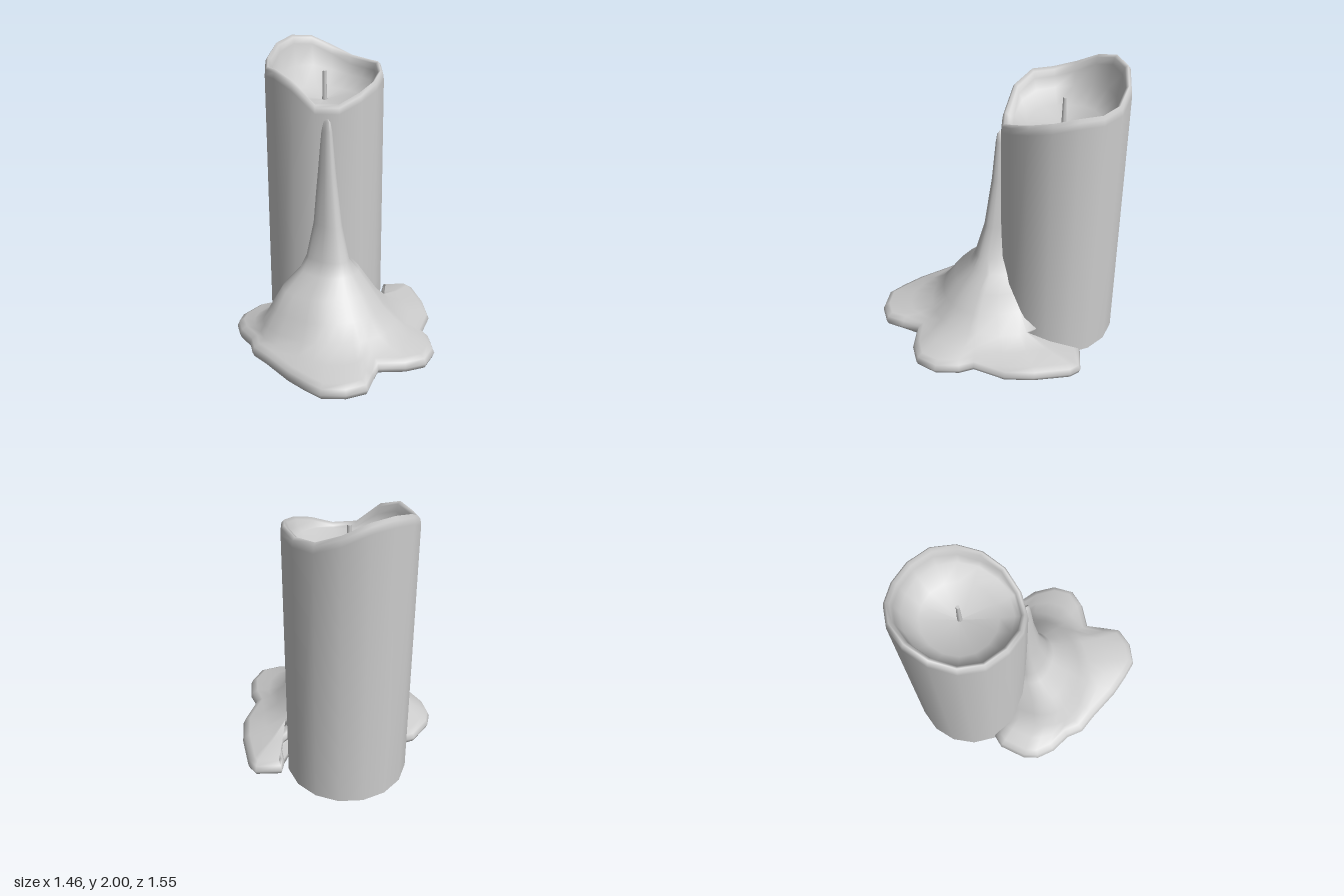
import * as THREE from 'three';

const material = new THREE.MeshStandardMaterial({ color: 0xcccccc });
const lerp = THREE.MathUtils.lerp;

// Skin a stack of closed loops, each an array of [x, y, z]
function loft(name, rings) {
  const n = rings[0].length, index = [];
  for (let j = 0; j < rings.length - 1; j++) {
    for (let i = 0; i < n; i++) {
      const a = j * n + i, b = j * n + (i + 1) % n;
      index.push(a, a + n, b, b, a + n, b + n);
    }
  }
  const geometry = new THREE.BufferGeometry();
  geometry.setAttribute('position', new THREE.Float32BufferAttribute(rings.flat(2), 3));
  geometry.setIndex(index);
  geometry.computeVertexNormals();
  const mesh = new THREE.Mesh(geometry, material);
  mesh.name = name;
  return mesh;
}

// Candle axis and rim heights, from +x round through the front
const CX = 0.115, CZ = -0.365, FLOOR = 1.6;
const rim = [1.84, 1.845, 1.81, 1.765, 1.71, 1.645, 1.65, 1.79,
  1.85, 1.845, 1.885, 1.96, 2.0, 1.99, 1.92, 1.855];

function candleBody() {
  const ring = (r, height) => rim.map((h, i) => {
    const a = i / rim.length * Math.PI * 2;
    return [CX + r * Math.cos(a), height(h), CZ + r * Math.sin(a)];
  });
  return loft('candleBody', [
    ring(0, () => 0), ring(0.41, () => 0), // flat base
    ring(0.41, () => 0), ring(0.41, h => h - 0.06), // wall
    ring(0.404, h => h - 0.02), ring(0.388, h => h), ring(0.368, h => h - 0.015), // rounded lip
    ring(0.357, h => Math.max(h - 0.06, FLOOR + 0.02)), // hollow top
    ring(0.33, h => lerp(FLOOR + 0.01, h, 0.45)),
    ring(0.24, h => lerp(FLOOR, h, 0.12)),
    ring(0, () => FLOOR),
  ]);
}

// Puddle outline as x, z; the first points run hidden inside the candle
const outline = [
  [-0.22, -0.42], [-0.1, -0.33], [0.08, -0.22], [0.2, -0.06], [0.3, 0.02], [0.4, -0.01],
  [0.46, -0.08], [0.52, -0.2], [0.58, -0.255], [0.725, -0.155], [0.73, -0.07], [0.63, 0.16],
  [0.52, 0.33], [0.33, 0.46], [0.31, 0.56], [0.22, 0.7], [0.08, 0.77], [-0.06, 0.73],
  [-0.2, 0.63], [-0.3, 0.7], [-0.41, 0.775], [-0.55, 0.74], [-0.67, 0.64], [-0.7, 0.5],
  [-0.72, 0.35], [-0.72, 0.1], [-0.73, -0.04], [-0.68, -0.15], [-0.67, -0.3], [-0.62, -0.42],
  [-0.54, -0.49], [-0.36, -0.545], [-0.27, -0.52],
];

// Mound and drip sections: height, then reach to -x, +x, front and back
const sections = [
  [0.2, 0.49, 0.46, 0.54, 0.3], [0.3, 0.42, 0.35, 0.45, 0.26], [0.42, 0.34, 0.27, 0.36, 0.2],
  [0.53, 0.2, 0.2, 0.26, 0.13], [0.62, 0.15, 0.1, 0.22, 0.1], [0.85, 0.09, 0.075, 0.15, 0.07],
  [1.2, 0.055, 0.055, 0.09, 0.05], [1.48, 0.03, 0.035, 0.06, 0.03],
  [1.54, 0.018, 0.02, 0.05, 0.02], [1.56, 0, 0, 0.03, 0],
];

function meltedWax() {
  const MX = -0.11, MZ = -0.05, n = outline.length;
  // Outline drawn inward by a distance
  const inset = (d, y) => outline.map(([x, z], i) => {
    const p = outline[(i + n - 1) % n], q = outline[(i + 1) % n];
    const tx = q[0] - p[0], tz = q[1] - p[1], l = Math.hypot(tx, tz);
    return [x - d * tz / l, y, z + d * tx / l];
  });
  // Direction from the drip to each outline point, never turning back
  let last = -2.1;
  const angles = outline.map(([x, z]) => {
    let a = Math.atan2(z - MZ, x - MX);
    if (a < last - Math.PI / 2) a += Math.PI * 2;
    return (last = Math.max(last, a));
  });
  const mound = sections.map(([y, left, right, front, back]) => angles.map(a => {
    const c = Math.cos(a), s = Math.sin(a);
    return [MX + c * (c < 0 ? left : right), y, MZ + s * (s < 0 ? back : front)];
  }));
  const top = inset(0.05, 0.12);
  const shelf = top.map((p, i) => [lerp(p[0], mound[0][i][0], 0.5), 0.145, lerp(p[2], mound[0][i][2], 0.5)]);
  return loft('meltedWax', [
    outline.map(() => [-0.05, 0.012, 0.2]), inset(0.05, 0.015), // underside
    inset(0.012, 0.035), inset(0, 0.065), inset(0.015, 0.1), top, // rounded edge
    shelf, ...mound,
  ]);
}

export function createModel() {
  const group = new THREE.Group();
  group.name = 'meltingCandle';
  const wick = new THREE.Mesh(new THREE.CylinderGeometry(0.012, 0.018, 0.21, 6), material);
  wick.name = 'wick';
  wick.position.set(CX, 1.695, CZ + 0.005);
  group.add(candleBody(), meltedWax(), wick);
  return group;
}
